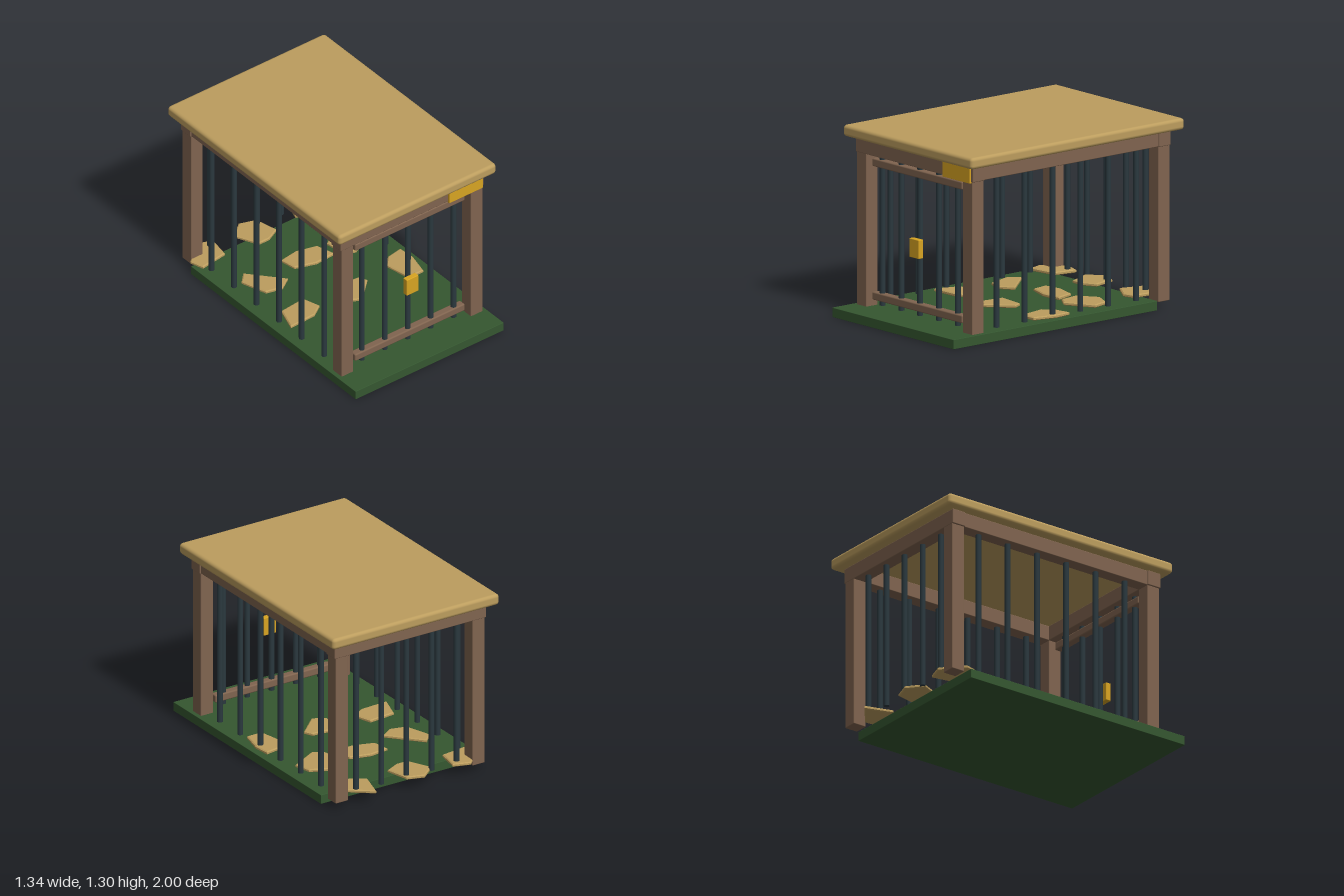
import * as THREE from 'three';
import { RoundedBoxGeometry } from 'three/addons/geometries/RoundedBoxGeometry.js';

const material = (name, color) => {
  const m = new THREE.MeshStandardMaterial({ color });
  m.name = name;
  return m;
};

export function createModel() {
  const model = new THREE.Group();
  model.name = 'barredShelter';

  const tan = material('tan stone', 0xbc9d5e);
  const brown = material('brown wood', 0x80644f);
  const green = material('grass green', 0x355730);
  const iron = material('dark iron', 0x2b393f);
  const gold = material('gold', 0xd8a422);

  // Box given by its extents on each axis, with softened edges
  const box = (name, mat, [x0, x1], [y0, y1], [z0, z1], radius = 0.006) => {
    const geo = new RoundedBoxGeometry(x1 - x0, y1 - y0, z1 - z0, 2, radius);
    const mesh = new THREE.Mesh(geo, mat);
    mesh.name = name;
    mesh.position.set((x0 + x1) / 2, (y0 + y1) / 2, (z0 + z1) / 2);
    model.add(mesh);
  };

  // Ground slab and roof slab
  box('groundSlab', green, [-0.63, 0.63], [0, 0.066], [-0.79, 1], 0.003);
  box('roof', tan, [-0.67, 0.67], [1.22, 1.3], [-1, 0.875], 0.024);

  // Corner posts
  for (const x of [-0.55, 0.55]) {
    for (const z of [-0.875, 0.76]) {
      box('post', brown, [x - 0.05, x + 0.05], [0.045, 1.2], [z - 0.05, z + 0.05]);
    }
  }

  // Beams under the roof
  box('frontBeam', brown, [-0.61, 0.61], [1.115, 1.222], [0.708, 0.812]);
  box('backBeam', brown, [-0.61, 0.61], [1.115, 1.222], [-0.927, -0.823]);
  for (const x of [-0.55, 0.55]) {
    box('sideBeam', brown, [x - 0.05, x + 0.05], [1.115, 1.222], [-0.85, 0.74]);
  }

  // Upright bars
  const bar = (name, x, z, bottom) => {
    const height = 1.13 - bottom;
    const mesh = new THREE.Mesh(new THREE.CylinderGeometry(0.02, 0.02, height, 10), iron);
    mesh.name = name;
    mesh.position.set(x, bottom + height / 2, z);
    model.add(mesh);
  };
  for (let i = -2; i <= 2; i++) {
    bar('frontBar', i * 0.195, 0.76, 0.088);
    bar('backBar', i * 0.202, -0.875, 0.075);
  }
  for (let i = 0; i < 6; i++) {
    for (const x of [-0.55, 0.55]) bar('sideBar', x, 0.555 - i * 0.245, 0.073);
  }

  // Gate rails, lock and plaque
  for (const y of [0.145, 1.064]) {
    box('gateRail', brown, [-0.467, 0.467], [y - 0.028, y + 0.028], [0.732, 0.788], 0.01);
  }
  box('lock', gold, [-0.05, 0.05], [0.49, 0.62], [0.775, 0.816], 0.005);
  box('plaque', gold, [0.305, 0.59], [1.107, 1.22], [0.8, 0.825], 0.002);

  // Paving stones: outline corners as [x, z]
  const stones = [
    [[-0.54, 0.18], [-0.48, 0], [-0.28, -0.02], [-0.24, 0.11], [-0.33, 0.17]],
    [[-0.06, 0.18], [-0.04, 0], [0.16, 0.02], [0.19, 0.08], [0.03, 0.23]],
    [[0.43, 0.23], [0.39, 0.03], [0.46, -0.04], [0.58, -0.06], [0.59, 0.06], [0.55, 0.23]],
    [[-0.49, -0.42], [-0.42, -0.49], [-0.22, -0.26], [-0.31, -0.2], [-0.43, -0.23]],
    [[-0.11, -0.33], [-0.13, -0.45], [0.01, -0.47], [0.16, -0.43], [0.2, -0.29], [0.04, -0.28]],
    [[0.25, -0.27], [0.23, -0.41], [0.37, -0.51], [0.5, -0.45], [0.53, -0.33], [0.33, -0.22]],
    [[-0.35, -0.91], [-0.38, -0.74], [-0.59, -0.71], [-0.62, -0.81], [-0.47, -0.95]],
    [[0.02, -0.91], [0.06, -0.74], [-0.04, -0.69], [-0.13, -0.69], [-0.21, -0.86], [-0.1, -0.95]],
    [[0.49, -0.84], [0.48, -0.71], [0.39, -0.69], [0.25, -0.78], [0.31, -0.98]],
  ];
  for (const corners of stones) {
    // The outline is mirrored in z, then the extrusion is laid flat
    const shape = new THREE.Shape(corners.map(([x, z]) => new THREE.Vector2(x, -z)));
    const geo = new THREE.ExtrudeGeometry(shape, {
      depth: 0.012, bevelEnabled: true, bevelThickness: 0.006,
      bevelSize: 0.008, bevelOffset: -0.008, bevelSegments: 1,
    });
    geo.rotateX(-Math.PI / 2);
    const mesh = new THREE.Mesh(geo, tan);
    mesh.name = 'pavingStone';
    mesh.position.y = 0.073;
    model.add(mesh);
  }

  return model;
}
